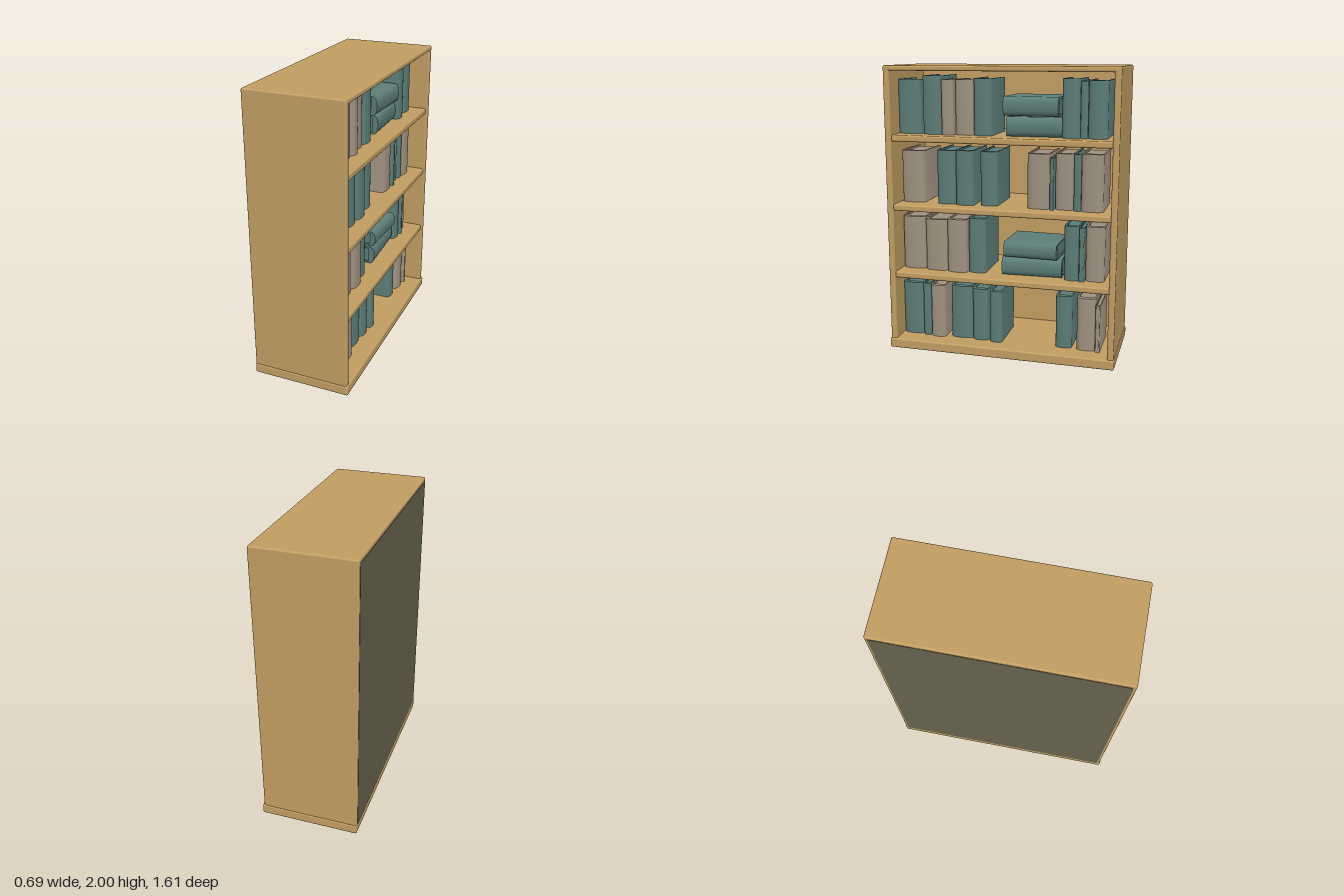
import * as THREE from 'three';
import { toCreasedNormals } from 'three/addons/utils/BufferGeometryUtils.js';
import { RoundedBoxGeometry } from 'three/addons/geometries/RoundedBoxGeometry.js';

const material = (name, color) => {
  const m = new THREE.MeshStandardMaterial({ color });
  m.name = name;
  return m;
};

export function createModel() {
  const group = new THREE.Group();
  group.name = 'bookcase';
  const wood = material('wood', 0xc29f63);
  const backing = material('backing', 0x68634f);
  const teal = material('tealCloth', 0x5c7d77);
  const beige = material('beigeCloth', 0xa09280);

  // Board given by its limits on each axis, with softened edges
  function board(name, [x0, x1], [y0, y1], [z0, z1], radius = 0.012, mat = wood) {
    const size = [x1 - x0, y1 - y0, z1 - z0];
    const geo = radius ? new RoundedBoxGeometry(...size, 3, radius) : new THREE.BoxGeometry(...size);
    const mesh = new THREE.Mesh(geo, mat);
    mesh.position.set((x0 + x1) / 2, (y0 + y1) / 2, (z0 + z1) / 2);
    mesh.name = name;
    group.add(mesh);
  }

  // Case, open towards +x
  board('base', [-0.345, 0.34], [0, 0.07], [-0.806, 0.806]);
  board('leftSide', [-0.345, 0.33], [0.03, 2], [0.756, 0.8]);
  board('rightSide', [-0.345, 0.33], [0.03, 2], [-0.8, -0.756]);
  board('top', [-0.345, 0.33], [1.965, 2], [-0.8, 0.8]);
  board('innerBack', [-0.343, -0.3], [0.05, 1.98], [-0.78, 0.78], 0);
  board('backPanel', [-0.347, -0.342], [0.07, 1.975], [-0.78, 0.78], 0, backing);
  for (const y of [0.52, 1.005, 1.488]) board('shelf', [-0.31, 0.318], [y, y + 0.045], [-0.76, 0.76]);

  // Book: a C-shaped cover with a rounded spine around a page block
  function book(name, thick, depth, height, mat) {
    const h = thick / 2, c = Math.min(0.012, thick * 0.15), bulge = Math.min(0.03, thick * 0.25);
    const s = new THREE.Shape();
    s.moveTo(h, 0);
    s.lineTo(h, depth - bulge);
    s.quadraticCurveTo(h * 0.9, depth, 0, depth);
    s.quadraticCurveTo(-h * 0.9, depth, -h, depth - bulge);
    s.lineTo(-h, 0);
    s.lineTo(c - h, 0);
    s.lineTo(c - h, depth - bulge - c);
    s.lineTo(h - c, depth - bulge - c);
    s.lineTo(h - c, 0);
    const extruded = new THREE.ExtrudeGeometry(s, { depth: height, bevelEnabled: false, curveSegments: 6 });
    const cover = new THREE.Mesh(toCreasedNormals(extruded, 0.7), mat);
    cover.name = 'cover';
    const pages = new THREE.Mesh(new THREE.BoxGeometry(thick - 1.8 * c, depth - bulge - c - 0.01, height - 0.024), mat);
    pages.position.set(0, (depth - bulge - c) / 2 + 0.005, height / 2);
    pages.name = 'pages';
    const g = new THREE.Group();
    g.add(cover, pages);
    g.name = name;
    group.add(g);
    return g;
  }

  const X = new THREE.Vector3(1, 0, 0), Y = new THREE.Vector3(0, 1, 0), Z = new THREE.Vector3(0, 0, 1);
  const upright = new THREE.Matrix4().makeBasis(Z, X, Y);
  const flat = new THREE.Matrix4().makeBasis(Y, X, Z.clone().negate());

  // Standing books per shelf: [z from, z to, top, cloth]
  const rows = [
    [0.07, [[0.755, 0.597, 0.455, teal], [0.595, 0.54, 0.46, teal], [0.535, 0.425, 0.455, beige],
      [0.39, 0.227, 0.455, teal], [0.225, 0.11, 0.45, teal], [0.095, 0.005, 0.445, teal],
      [-0.375, -0.49, 0.445, teal], [-0.525, -0.655, 0.445, beige], [-0.657, -0.69, 0.405, beige]]],
    [0.565, [[0.745, 0.572, 0.945, beige], [0.57, 0.407, 0.935, beige], [0.405, 0.26, 0.945, beige],
      [0.255, 0.13, 0.955, teal], [-0.43, -0.533, 0.945, teal], [-0.535, -0.573, 0.94, teal],
      [-0.575, -0.705, 0.945, beige]]],
    [1.05, [[0.74, 0.57, 1.415, beige], [0.475, 0.34, 1.425, teal], [0.335, 0.205, 1.43, teal],
      [0.165, 0.04, 1.425, teal], [-0.17, -0.325, 1.425, beige], [-0.33, -0.357, 1.4, teal],
      [-0.36, -0.488, 1.43, beige], [-0.49, -0.538, 1.43, teal], [-0.54, -0.69, 1.435, beige]]],
    [1.533, [[0.755, 0.587, 1.905, teal], [0.57, 0.435, 1.93, teal], [0.43, 0.342, 1.905, beige],
      [0.34, 0.207, 1.905, beige], [0.205, 0.075, 1.915, teal], [-0.405, -0.523, 1.92, teal],
      [-0.525, -0.573, 1.905, teal], [-0.575, -0.705, 1.91, teal]]],
  ];
  for (const [floor, books] of rows) {
    books.forEach(([z0, z1, top, cloth], i) => {
      const b = book('standingBook', z0 - z1, 0.34, top - floor, cloth);
      b.quaternion.setFromRotationMatrix(upright);
      b.position.set(-0.14 + 0.012 * (i % 3), floor, (z0 + z1) / 2);
    });
  }

  // Lying books in stacks of two: [z from, z to, bottom, top, turn]
  for (const [z0, z1, y0, y1, turn] of [
    [0.02, -0.4, 0.565, 0.692, 0.04], [-0.02, -0.395, 0.696, 0.806, -0.04],
    [-0.015, -0.4, 1.533, 1.665, 0.03], [-0.02, -0.4, 1.67, 1.8, -0.05],
  ]) {
    const b = book('lyingBook', y1 - y0, 0.34, z0 - z1, teal);
    b.quaternion.setFromRotationMatrix(flat);
    b.rotateOnWorldAxis(Y, turn);
    b.position.set(-0.13, (y0 + y1) / 2, z0);
  }
  return group;
}
